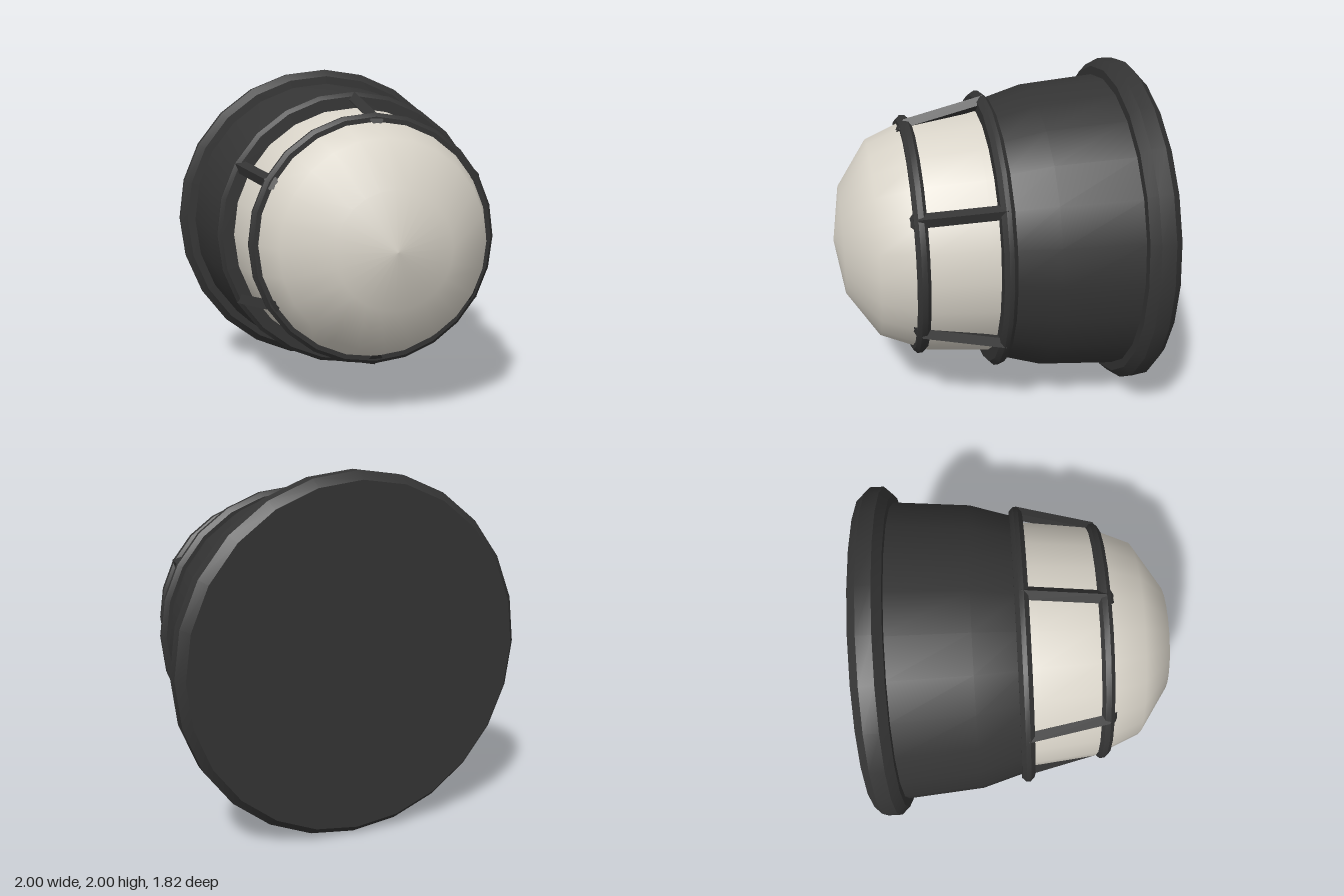
import * as THREE from 'three';
import { toCreasedNormals } from 'three/addons/utils/BufferGeometryUtils.js';

const SIDES = 24;

// Revolve [radius, z] points (listed back to front on the outside) around the z axis
function revolve(points, crease) {
  const g = new THREE.LatheGeometry(points.map(([r, z]) => new THREE.Vector2(r, z)), SIDES);
  g.rotateX(Math.PI / 2);
  return crease ? toCreasedNormals(g, crease) : g;
}

// Closed hoop with chamfered outer edges
function hoop(inner, outer, back, front, chamfer) {
  return revolve([
    [inner, back], [outer - chamfer, back], [outer, back + chamfer],
    [outer, front - chamfer], [outer - chamfer, front], [inner, front], [inner, back],
  ], 0.5);
}

export function createModel() {
  const model = new THREE.Group();
  model.name = 'bulkheadLamp';
  const black = new THREE.MeshStandardMaterial({ color: 0x343434 });
  black.name = 'dark housing';
  const cream = new THREE.MeshStandardMaterial({ color: 0xd8d3c8 });
  cream.name = 'cream glass';

  const lamp = new THREE.Group();
  lamp.name = 'lamp';
  lamp.position.y = 1;
  model.add(lamp);

  const add = (name, geometry, material) => {
    const mesh = new THREE.Mesh(geometry, material);
    mesh.name = name;
    lamp.add(mesh);
    return mesh;
  };

  // Wall flange with solid back
  add('wallFlange', revolve([
    [0, -0.91], [0.955, -0.91], [1, -0.862], [1, -0.778], [0.955, -0.73], [0.85, -0.73],
  ], 0.5), black);

  // Tapered housing
  add('housing', revolve([[0.905, -0.74], [0.865, -0.275], [0.782, 0]]), black);

  // Glass dome
  add('glassDome', revolve([
    [0.75, -0.02], [0.742, 0.08], [0.706, 0.41], [0.592, 0.68], [0.325, 0.86], [0, 0.91],
  ]), cream);

  // Guard hoops
  add('rearHoop', hoop(0.74, 0.842, -0.04, 0.036, 0.025), black);
  add('frontHoop', hoop(0.673, 0.722, 0.415, 0.49, 0.022), black);

  // Guard bars: diamond section, sloping inward, with raked front ends
  const bar = new THREE.CylinderGeometry(0.04, 0.04, 1, 4, 1).toNonIndexed();
  const p = bar.attributes.position;
  for (let i = 0; i < p.count; i++) {
    const x = p.getX(i), off = p.getZ(i), front = p.getY(i) > 0;
    const z = front ? 0.495 - off * 0.8 : 0;
    p.setXYZ(i, x, 0.805 - 0.25 * z + off, z);
  }
  // The remapping swaps two axes, so restore the corner order
  for (let i = 0; i < p.count; i += 3) {
    const b = new THREE.Vector3().fromBufferAttribute(p, i + 1);
    const c = new THREE.Vector3().fromBufferAttribute(p, i + 2);
    p.setXYZ(i + 1, c.x, c.y, c.z);
    p.setXYZ(i + 2, b.x, b.y, b.z);
  }
  bar.computeVertexNormals();
  for (let i = 0; i < 6; i++) {
    add('guardBar' + (i + 1), bar, black).rotation.z = i * Math.PI / 3;
  }
  return model;
}
